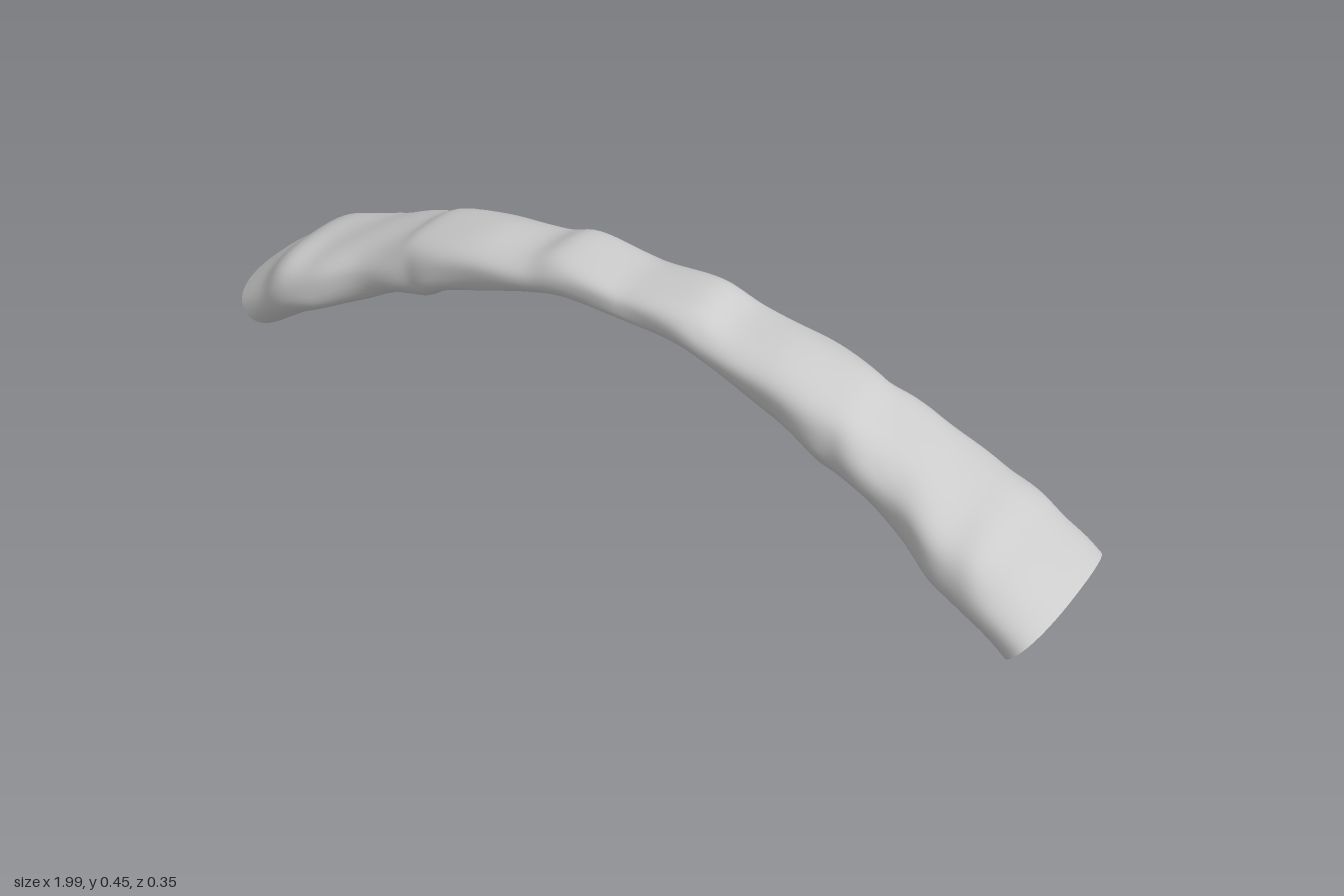
import * as THREE from 'three';

// Half of the arch, crown to foot: [top x, top y, bottom x, bottom y, front z, back z]
const STATIONS = [
  [0, .445, 0, .37, .088, .11],
  [.15, .46, .14, .356, .09, .11],
  [.24, .43, .22, .338, .093, .11],
  [.37, .418, .33, .30, .102, .12],
  [.50, .387, .44, .253, .114, .124],
  [.57, .352, .50, .217, .117, .132],
  [.68, .302, .59, .192, .122, .144],
  [.78, .262, .69, .135, .152, .15],
  [.86, .23, .77, .094, .174, .16],
  [.93, .166, .84, .052, .168, .174],
  [.995, .112, .91, .002, .164, .18],
];
const ROWS = 60; // rings per half
const SIDES = 48; // points round each ring

const curve = (pick) => new THREE.CatmullRomCurve3(
  STATIONS.map((s) => new THREE.Vector3(...pick(s))), false, 'catmullrom', 0.5);

// Gentle weathering: a value from 0 to 1 along the arch (t) and round it (a)
function wear(t, a) {
  const n = Math.sin(t * 23 + 2 * Math.sin(a)) * Math.cos(2 * a + t * 9)
    + 0.6 * Math.sin(t * 41 + 3 * a + 1) + 0.4 * Math.cos(5 * a - t * 17);
  return THREE.MathUtils.clamp(0.5 + n / 3.2, 0, 1);
}

function archGeometry() {
  const tops = curve((s) => [s[0], s[1], 0]);
  const bottoms = curve((s) => [s[2], s[3], 0]);
  const widths = curve((s) => [s[4], s[5], 0]);
  const positions = [];
  const index = [];
  const p = new THREE.Vector3();

  // Rounded, flattened rings, mirrored about the crown
  for (let i = -ROWS; i <= ROWS; i++) {
    const t = Math.abs(i) / ROWS;
    const top = tops.getPoint(t);
    const bottom = bottoms.getPoint(t);
    const width = widths.getPoint(t);
    const depth = 0.085 * (1 - 0.75 * t ** 6);
    for (let j = 0; j < SIDES; j++) {
      const a = (j / SIDES) * Math.PI * 2;
      const c = Math.cos(a);
      const s = Math.sin(a);
      const r = 1 - depth * wear(t, a);
      const across = Math.sign(c) * Math.abs(c) ** 0.8 * r;
      const up = Math.sign(s) * Math.abs(s) ** 0.85 * r;
      p.lerpVectors(bottom, top, 0.5 + 0.5 * up);
      positions.push(i < 0 ? -p.x : p.x, p.y, across * (across > 0 ? width.x : width.y));
    }
  }
  for (let i = 0; i < 2 * ROWS; i++) {
    for (let j = 0; j < SIDES; j++) {
      const k = (j + 1) % SIDES;
      const a = i * SIDES + j;
      const b = i * SIDES + k;
      index.push(a, a + SIDES, b, b, a + SIDES, b + SIDES);
    }
  }
  const geometry = new THREE.BufferGeometry();
  geometry.setAttribute('position', new THREE.Float32BufferAttribute(positions, 3));
  geometry.setIndex(index);
  geometry.computeVertexNormals();
  return geometry;
}

export function createModel() {
  const group = new THREE.Group();
  group.name = 'rockArch';
  // Hollow shell with open feet
  const shell = new THREE.Mesh(archGeometry(),
    new THREE.MeshStandardMaterial({ color: 0xcccccc, side: THREE.DoubleSide }));
  shell.name = 'archShell';
  group.add(shell);
  return group;
}
